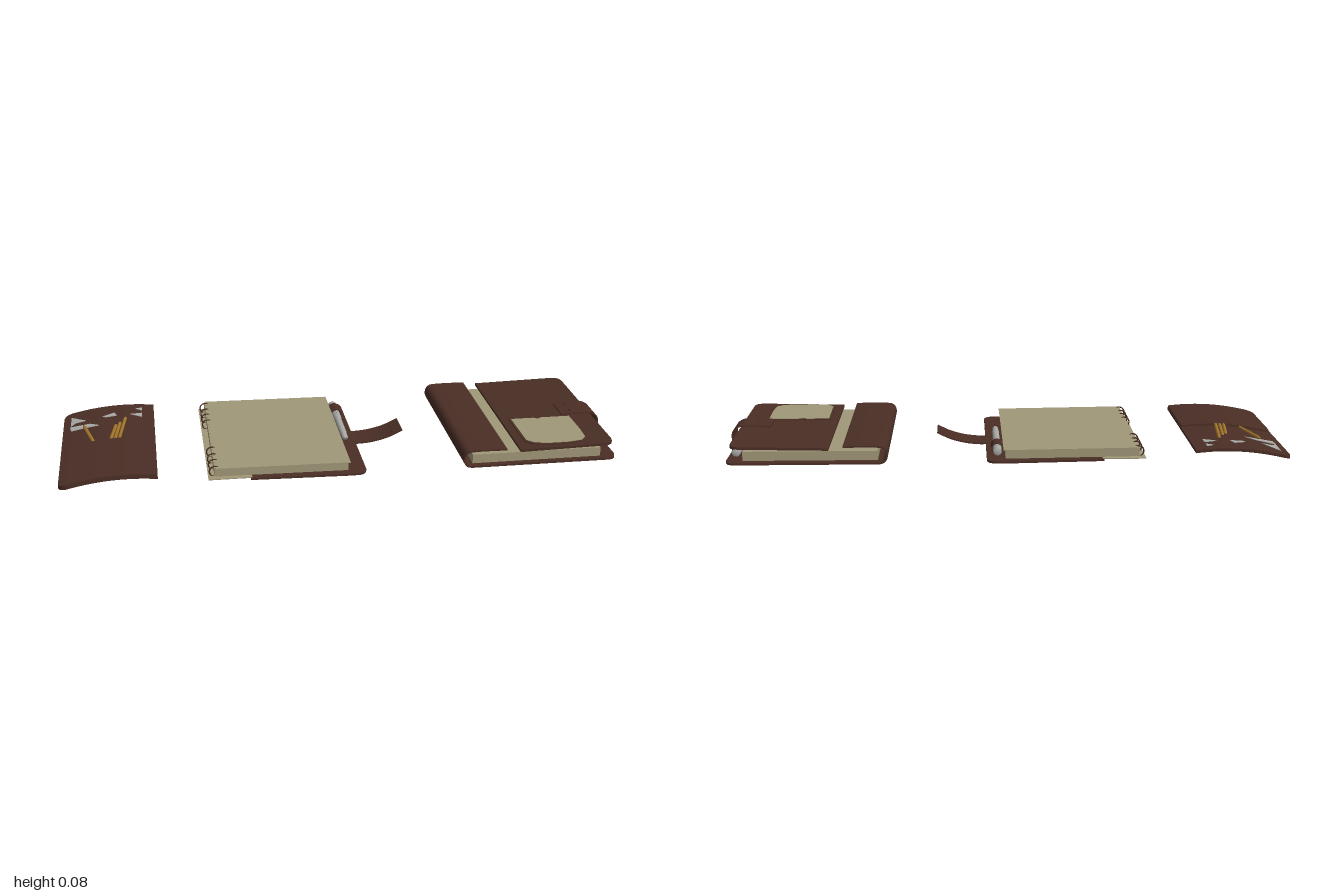
import * as THREE from 'three';

const material = (name, color, side = THREE.FrontSide) => {
  const m = new THREE.MeshStandardMaterial({ color, side });
  m.name = name;
  return m;
};

export function createModel() {
  const leather = material('brown leather', 0x4a2e25);
  const paper = material('cream paper', 0xa09878);
  const metal = material('silver metal', 0xa9a9a6);
  const wood = material('pencil yellow', 0xa8792f);
  const lead = material('dark lead', 0x2a201c);
  const model = new THREE.Group();
  model.name = 'leatherNotebookSet';

  const add = (parent, name, geometry, mat) => {
    const mesh = new THREE.Mesh(geometry, mat);
    mesh.name = name;
    parent.add(mesh);
    return mesh;
  };
  const group = (name, x = 0, y = 0, z = 0, parent = model) => {
    const g = new THREE.Group();
    g.name = name;
    g.position.set(x, y, z);
    parent.add(g);
    return g;
  };

  // Sheet bent along x by yAt, with optional corner radii at each x end
  function sheet([x0, x1], [z0, z1], t, yAt, r0 = 0, r1 = 0) {
    const geo = new THREE.BoxGeometry(x1 - x0, t, z1 - z0, 64, 1, 1);
    geo.translate((x0 + x1) / 2, 0, 0);
    const p = geo.attributes.position;
    const cut = (d, r) => (d < r ? r - Math.sqrt(Math.max(0, r * r - (r - d) ** 2)) : 0);
    for (let i = 0; i < p.count; i++) {
      const x = p.getX(i);
      const c = cut(x - x0, r0) + cut(x1 - x, r1);
      const s = Math.sign(p.getZ(i));
      p.setZ(i, (z0 + z1) / 2 + s * ((z1 - z0) / 2 - c));
      p.setY(i, p.getY(i) + yAt(x));
    }
    geo.computeVertexNormals();
    return geo;
  }

  // Strip of thickness t following an xy path, extruded across z
  function ribbon(path, t, z0, z1) {
    const curve = new THREE.CatmullRomCurve3(path.map(([x, y]) => new THREE.Vector3(x, y, 0)));
    const outer = [], inner = [];
    for (let i = 0; i <= 40; i++) {
      const p = curve.getPoint(i / 40), d = curve.getTangent(i / 40);
      outer.push(new THREE.Vector2(p.x - d.y * t / 2, p.y + d.x * t / 2));
      inner.unshift(new THREE.Vector2(p.x + d.y * t / 2, p.y - d.x * t / 2));
    }
    const shape = new THREE.Shape([...outer, ...inner]);
    return new THREE.ExtrudeGeometry(shape, { depth: z1 - z0, bevelEnabled: false }).translate(0, 0, z0);
  }

  // Flat plate from [x, z] outline points, lying in the xz plane
  function plate(points, t) {
    const shape = new THREE.Shape(points.map(([x, z]) => new THREE.Vector2(x, -z)));
    return new THREE.ExtrudeGeometry(shape, { depth: t, bevelEnabled: false }).rotateX(-Math.PI / 2);
  }

  // Pen lying along z, held by a leather loop
  function pen(parent, x, y) {
    const g = group('pen', x, y, 0, parent);
    const profile = [[0, -0.28], [0.013, -0.28], [0.015, -0.274], [0.015, -0.125], [0.0125, -0.122],
      [0.0125, 0.012], [0.011, 0.016], [0.011, 0.055], [0, 0.06]];
    const body = new THREE.LatheGeometry(profile.map(([r, h]) => new THREE.Vector2(r, h)), 20);
    add(g, 'penBody', body.rotateX(Math.PI / 2), metal);
    add(g, 'penClip', new THREE.BoxGeometry(0.005, 0.003, 0.11).translate(0, 0.017, -0.2), metal);
    const loop = [[-0.04, -0.02], [0, -0.0185], [0.017, -0.01], [0.019, 0], [0.014, 0.014], [0, 0.0195],
      [-0.014, 0.014], [-0.03, 0.005]];
    add(g, 'penLoop', ribbon(loop, 0.003, -0.24, -0.17), leather);
  }

  const snap = (parent, x, y, z, tilt = 0) => {
    const s = add(parent, 'snap', new THREE.CylinderGeometry(0.008, 0.011, 0.005, 16), leather);
    s.position.set(x, y, z);
    s.rotation.z = tilt;
  };

  // ---- Arched pocket panel ----
  const panel = group('pocketPanel');
  const arch = (x) => {
    const u = (x + 1) / 0.34;
    return 0.014 + 0.095 * u - 0.068 * u * u;
  };
  add(panel, 'panelBack', sheet([-1, -0.66], [-0.34, 0.335], 0.01, arch, 0.035), leather);
  add(panel, 'panelPocket', sheet([-0.998, -0.662], [0, 0.334], 0.006, (x) => arch(x) + 0.008, 0.03), leather);
  // Loose pencils tucked into the pocket
  [[-0.925, -0.18, -0.882], [-0.765, -0.215, -0.79], [-0.785, -0.17, -0.805], [-0.8, -0.15, -0.82]]
    .forEach(([x0, z0, x1]) => {
      const len = Math.hypot(x1 - x0, z0);
      const g = group('pencil', (x0 + x1) / 2, arch((x0 + x1) / 2) + 0.008, z0 / 2, panel);
      g.rotation.y = Math.atan2(x1 - x0, -z0);
      add(g, 'pencilShaft', new THREE.CylinderGeometry(0.0065, 0.0065, len - 0.025, 6)
        .rotateX(Math.PI / 2).translate(0, 0, 0.0125), wood);
      add(g, 'pencilTip', new THREE.ConeGeometry(0.0065, 0.019, 6)
        .rotateX(-Math.PI / 2).translate(0, 0, -len / 2 + 0.0155), wood);
      add(g, 'pencilLead', new THREE.ConeGeometry(0.002, 0.007, 6)
        .rotateX(-Math.PI / 2).translate(0, 0, -len / 2 + 0.0035), lead);
    });
  // Silver drafting pieces
  [[[-0.972, -0.29], [-0.972, -0.2], [-0.955, -0.225], [-0.915, -0.225]],
    [[-0.975, -0.195], [-0.97, -0.155], [-0.865, -0.155], [-0.9, -0.185]],
    [[-0.855, -0.235], [-0.84, -0.225], [-0.8, -0.23], [-0.81, -0.26]],
    [[-0.75, -0.235], [-0.705, -0.205], [-0.705, -0.245]],
    [[-0.73, -0.29], [-0.705, -0.27], [-0.705, -0.3]]].forEach((outline) => {
    const piece = plate(outline, 0.002);
    const p = piece.attributes.position;
    for (let i = 0; i < p.count; i++) p.setY(i, p.getY(i) + arch(p.getX(i)) + 0.0055);
    piece.computeVertexNormals();
    add(panel, 'draftingPiece', piece, metal);
  });

  // ---- Open notebook with ring-bound pages ----
  const open = group('openNotebook');
  add(open, 'backCover', sheet([-0.34, 0.07], [-0.34, 0.335], 0.007, (x) => 0.008 - 0.018 * Math.min(0, x), 0, 0.035), leather);
  add(open, 'pageBlock', sheet([-0.465, 0.005], [-0.318, 0.312], 0.03, (x) => 0.031 - 0.012 * x), paper);
  add(open, 'topSheet', sheet([-0.46, 0.012], [-0.322, 0.318], 0.002, (x) => 0.047 - 0.012 * x), paper);
  add(open, 'bindingStrip', sheet([-0.487, -0.335], [-0.335, 0.33], 0.003, () => 0.018), paper);
  for (const z of [0.13, 0.19, 0.24, 0.3]) {
    for (const side of [-1, 1]) {
      const ring = add(open, 'bindingRing', new THREE.TorusGeometry(0.019, 0.0025, 8, 24), leather);
      ring.position.set(-0.463, 0.036, z * side);
    }
  }
  pen(open, 0.032, 0.031);
  add(open, 'closingStrap', ribbon([[0.03, 0.007], [0.09, 0.004], [0.15, 0.011], [0.2, 0.025], [0.247, 0.047]],
    0.005, -0.06, 0.053), leather);
  for (const z of [-0.034, 0.028]) snap(open, 0.218, 0.036, z, 0.43);

  // ---- Closed notebook ----
  const closed = group('closedNotebook');
  add(closed, 'backCover', sheet([0.44, 0.98], [-0.34, 0.335], 0.007, () => 0.009, 0, 0.035), leather);
  add(closed, 'spine', ribbon([[0.45, 0.009], [0.43, 0.012], [0.419, 0.026], [0.419, 0.05], [0.43, 0.064],
    [0.45, 0.068], [0.51, 0.069], [0.57, 0.068]], 0.006, -0.34, 0.335), leather);
  add(closed, 'pageBlock', sheet([0.45, 0.92], [-0.318, 0.318], 0.033, () => 0.032), paper);
  add(closed, 'frontFlap', sheet([0.62, 0.965], [-0.34, 0.335], 0.009, (x) => 0.06 + 0.02 * (x - 0.62), 0, 0.035), leather);
  // Card pocket on the flap
  const card = (grow) => {
    const pts = [[0.655 - grow, 0.07 - grow], [0.74, 0.07 - grow], [0.755, 0.08 - grow], [0.77, 0.07 - grow],
      [0.878 + grow, 0.07 - grow]];
    const bottom = [[0.88, 0.2], [0.876, 0.27], [0.855, 0.295], [0.8, 0.306], [0.73, 0.306], [0.68, 0.295], [0.657, 0.27]];
    return pts.concat(bottom.map(([x, z]) => [x + (x > 0.77 ? grow : -grow), z + (z > 0.25 ? grow : 0)]));
  };
  const pocket = group('cardPocket', 0, 0.0685, 0, closed);
  add(pocket, 'pocketFrame', plate(card(0.008), 0.003), leather);
  add(pocket, 'pocketCard', plate(card(0), 0.005), paper);
  pen(closed, 0.948, 0.034);
  add(closed, 'closingStrap', ribbon([[0.9, 0.003], [0.965, 0.004], [0.99, 0.012], [0.9965, 0.032], [0.992, 0.058],
    [0.97, 0.074], [0.93, 0.077], [0.855, 0.073]], 0.005, -0.058, 0.056), leather);
  for (const z of [-0.03, 0.028]) snap(closed, 0.9, 0.08, z);

  return model;
}
